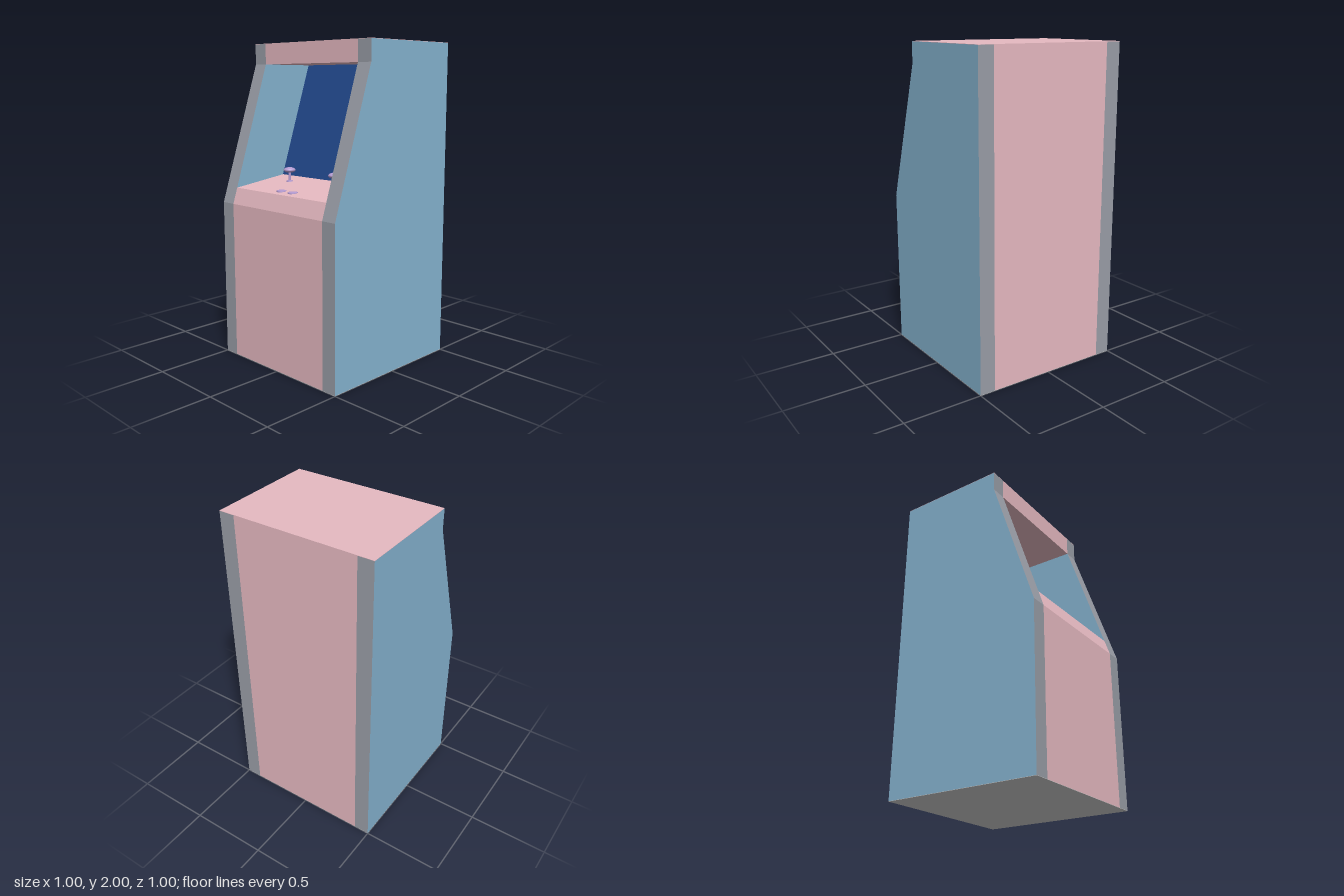
import * as THREE from 'three';

const paint = (color) => new THREE.MeshStandardMaterial({ color });
const pink = paint(0xe6b9c1), blue = paint(0x86b4d1), trim = paint(0x999da6);
const navy = paint(0x20478a), purple = paint(0xb39ad0), grey = paint(0xcccccc);

const LID = 0.002; // thickness of the top and bottom sheets
const INNER = 0.4, OUTER = 0.5;

function add(parent, name, geometry, material, x = 0, y = 0, z = 0) {
  const mesh = new THREE.Mesh(geometry, material);
  mesh.name = name;
  mesh.position.set(x, y, z);
  parent.add(mesh);
  return mesh;
}

// Extrudes a [z, y] side profile across the width from x0 to x1
function slab(points, x0, x1) {
  const shape = new THREE.Shape(points.map(([z, y]) => new THREE.Vector2(z, y)));
  return new THREE.ExtrudeGeometry(shape, { depth: x1 - x0, bevelEnabled: false })
    .rotateY(-Math.PI / 2).translate(x1, 0, 0);
}

function lathe(points) {
  return new THREE.LatheGeometry(points.map(([r, y]) => new THREE.Vector2(r, y)), 32);
}

export function createModel() {
  const cabinet = new THREE.Group();
  cabinet.name = 'arcadeCabinet';
  const bottom = LID, top = 2 - LID;

  // Side panels: coloured faces with a contrasting edge
  const outline = [[-0.5, bottom], [0.5, bottom], [0.5, 1], [0.215, 1.87], [0.215, top], [-0.5, top]];
  add(cabinet, 'leftPanel', slab(outline, INNER, OUTER), [blue, trim]);
  add(cabinet, 'rightPanel', slab(outline, -OUTER, -INNER), [blue, trim]);

  // Body between the panels, with the recess for deck and screen
  const body = [[-0.5, bottom], [0.5, bottom], [0.5, 1], [0.467, 1.1], [0.077, 1.15],
    [-0.165, 1.87], [0.215, 1.87], [0.215, top], [-0.5, top]];
  add(cabinet, 'body', slab(body, -INNER, INNER), pink);

  // Leaning screen at the back of the recess
  const screen = [[0.077, 1.15], [0.081, 1.15], [-0.161, 1.87], [-0.165, 1.87]];
  add(cabinet, 'screen', slab(screen, -INNER, INNER), navy);

  // Full-width roof and underside
  add(cabinet, 'roof', new THREE.BoxGeometry(1, LID, 0.715), pink, 0, 2 - LID / 2, -0.1425);
  add(cabinet, 'base', new THREE.BoxGeometry(1, LID, 1), grey, 0, LID / 2, 0);

  // Controls, each a pair mirrored about the centre
  const cap = lathe([[0.031, -0.012], [0.031, 0.001], [0.029, 0.004], [0.021, 0.006], [0, 0.006]]);
  const collar = lathe([[0.021, -0.01], [0.021, 0.004], [0.016, 0.007], [0, 0.007]]);
  const shaft = new THREE.CylinderGeometry(0.009, 0.009, 0.065, 20);
  const knob = new THREE.SphereGeometry(0.038, 32, 18).scale(1, 0.47, 1);
  for (const side of [-1, 1]) {
    const name = side > 0 ? 'left' : 'right';
    add(cabinet, name + 'Button', cap, purple, side * 0.05, 1.109, 0.4);

    const joystick = new THREE.Group();
    joystick.name = name + 'Joystick';
    joystick.position.set(side * 0.2, 1.134, 0.2);
    add(joystick, 'collar', collar, purple);
    add(joystick, 'shaft', shaft, purple, 0, 0.035, 0);
    add(joystick, 'knob', knob, purple, 0, 0.073, 0);
    cabinet.add(joystick);
  }
  return cabinet;
}
